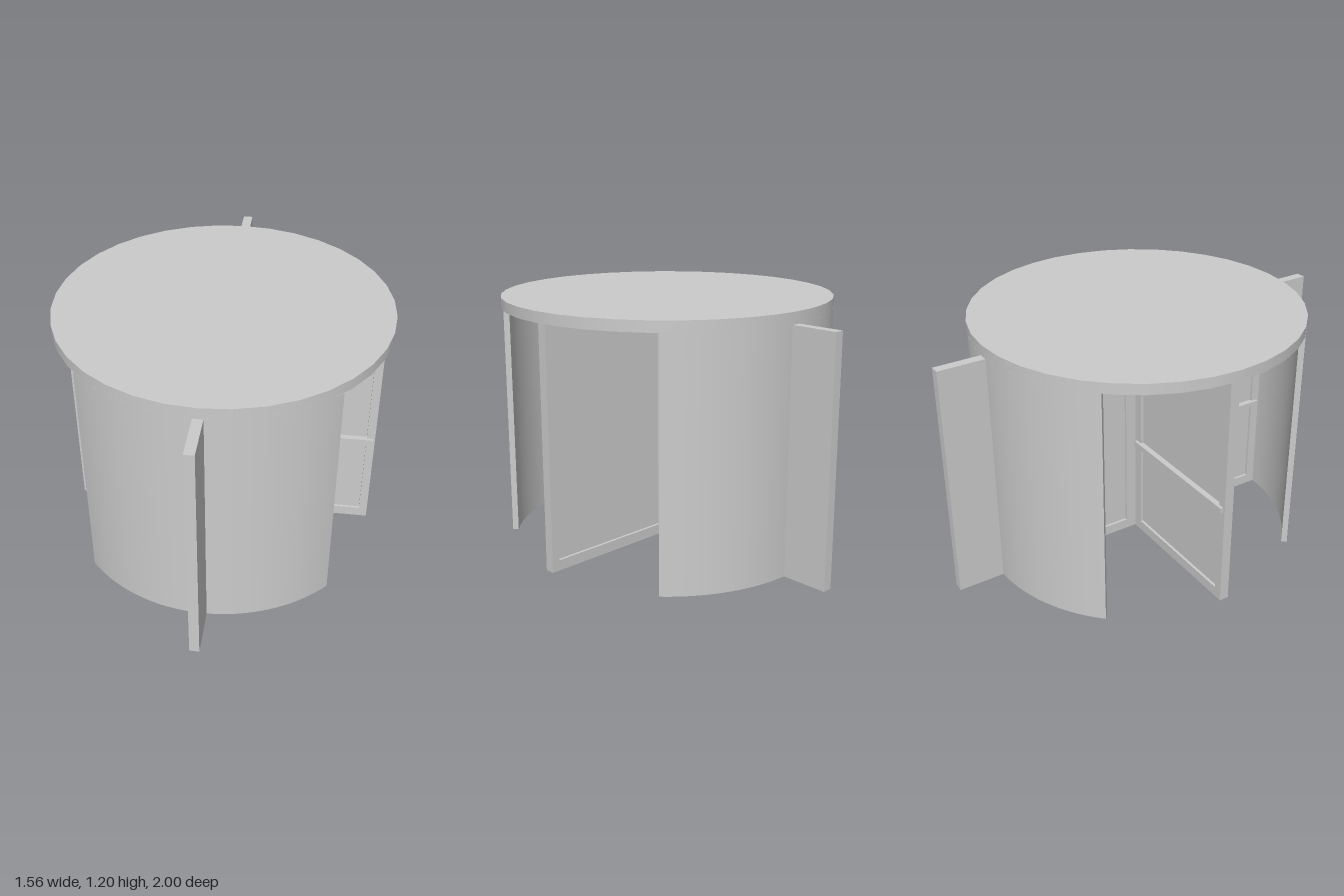
import * as THREE from 'three';
import { toCreasedNormals } from 'three/addons/utils/BufferGeometryUtils.js';

const grey = new THREE.MeshStandardMaterial({ color: 0xcccccc });

const WING_HEIGHT = 1.145;
const WING_LENGTH = 0.745;
const THICKNESS = 0.046;
const HALF = THICKNESS / 2;

function add(parent, name, geometry, x = 0, y = 0, z = 0) {
  const mesh = new THREE.Mesh(geometry, grey);
  mesh.name = name;
  mesh.position.set(x, y, z);
  parent.add(mesh);
  return mesh;
}

// Box given by its lower and upper corners
function addBox(parent, name, [x0, y0, z0], [x1, y1, z1]) {
  return add(parent, name, new THREE.BoxGeometry(x1 - x0, y1 - y0, z1 - z0),
    (x0 + x1) / 2, (y0 + y1) / 2, (z0 + z1) / 2);
}

function rectangle(path, x0, y0, x1, y1) {
  path.moveTo(x0, y0);
  path.lineTo(x1, y0);
  path.lineTo(x1, y1);
  path.lineTo(x0, y1);
  path.closePath();
  return path;
}

// One door wing running out along +x, with its push bar on the +z face
function createWing() {
  const wing = new THREE.Group();
  wing.name = 'doorWing';

  const outline = rectangle(new THREE.Shape(), HALF, 0, WING_LENGTH, WING_HEIGHT);
  outline.holes.push(rectangle(new THREE.Path(), 0.075, 0.05, 0.705, 1.097));
  const frame = new THREE.ExtrudeGeometry(outline, { depth: THICKNESS, bevelEnabled: false });
  add(wing, 'wingFrame', frame, 0, 0, -HALF);

  addBox(wing, 'wingPane', [0.07, 0.045, -0.01], [0.71, 1.102, 0.01]);
  addBox(wing, 'pushBar', [0.04, 0.485, 0.008], [0.735, 0.512, 0.038]);
  return wing;
}

// Curved enclosure wall centred on +z
function createWall() {
  const outer = 0.778, inner = 0.75, halfAngle = THREE.MathUtils.degToRad(46.8);
  const start = -Math.PI / 2 - halfAngle, end = -Math.PI / 2 + halfAngle;
  const arc = new THREE.Shape();
  arc.absarc(0, 0, outer, start, end, false);
  arc.absarc(0, 0, inner, end, start, true);
  arc.closePath();
  const geometry = new THREE.ExtrudeGeometry(arc, { depth: 1.15, bevelEnabled: false, curveSegments: 32 });
  geometry.rotateX(-Math.PI / 2);
  return toCreasedNormals(geometry, Math.PI / 6);
}

export function createModel() {
  const model = new THREE.Group();
  model.name = 'revolvingDoor';

  // Round roof slab
  add(model, 'roof', new THREE.CylinderGeometry(0.78, 0.78, 0.05, 36), 0, 1.175, 0);

  // Four wings around a square central post
  addBox(model, 'centrePost', [-HALF, 0, -HALF], [HALF, WING_HEIGHT, HALF]);
  for (let i = 0; i < 4; i++) {
    const wing = createWing();
    wing.rotation.y = i * Math.PI / 2;
    model.add(wing);
  }

  // Front and back curved walls, each with an outer fin
  const wallGeometry = createWall();
  for (const [side, angle] of [['front', 0], ['back', Math.PI]]) {
    const enclosure = new THREE.Group();
    enclosure.name = side + 'Enclosure';
    add(enclosure, 'curvedWall', wallGeometry);
    addBox(enclosure, 'outerFin', [-HALF, 0, WING_LENGTH], [HALF, WING_HEIGHT, 1]);
    enclosure.rotation.y = angle;
    model.add(enclosure);
  }

  return model;
}
